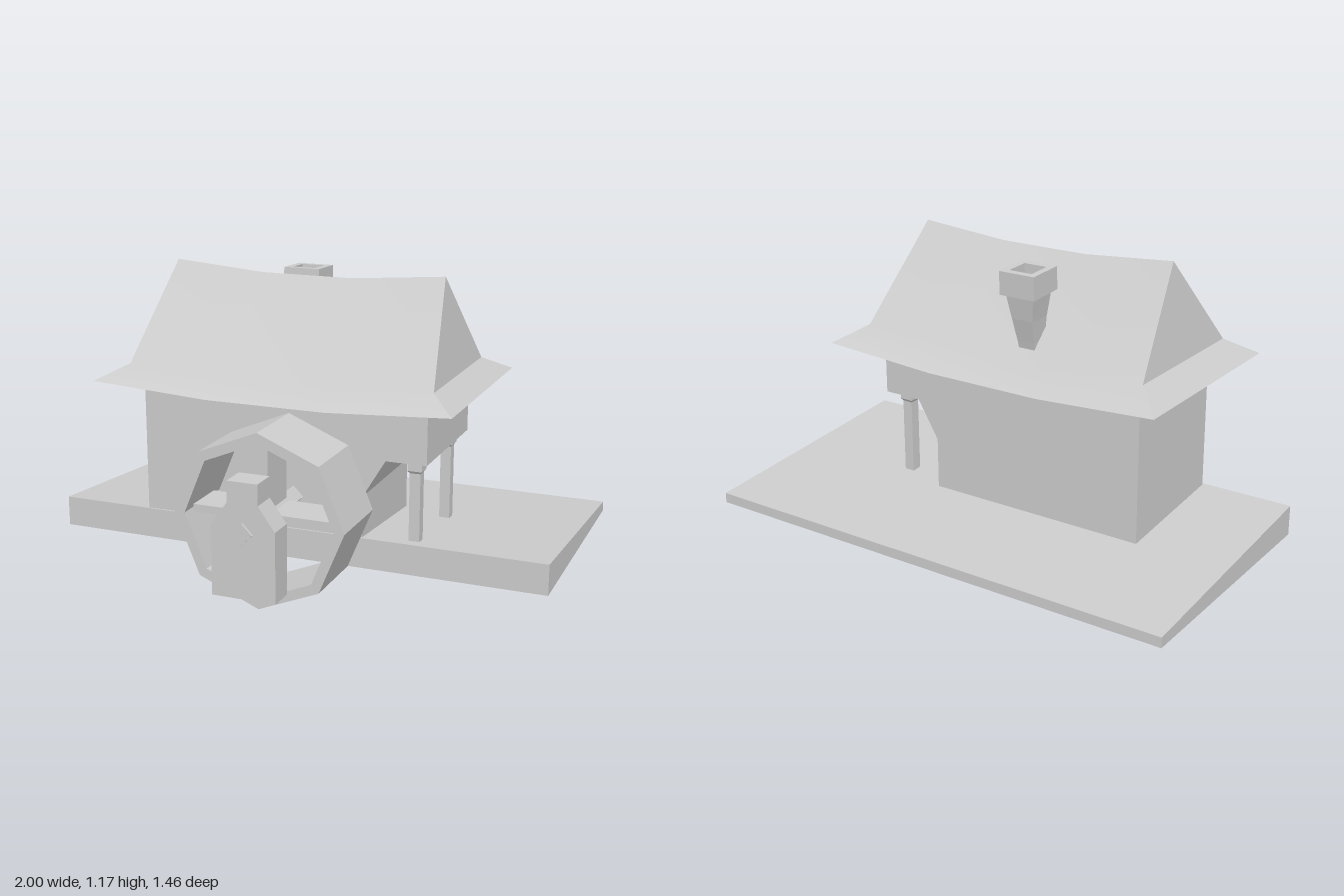
import * as THREE from 'three';

const flat = new THREE.MeshStandardMaterial({ color: 0xcccccc, flatShading: true, side: THREE.DoubleSide });
const smooth = new THREE.MeshStandardMaterial({ color: 0xcccccc, side: THREE.DoubleSide });

function add(parent, name, geometry, material = flat) {
  const mesh = new THREE.Mesh(geometry, material);
  mesh.name = name;
  parent.add(mesh);
  return mesh;
}

// Grid surface from rows of [x, y, z] points, rows running left to right and upwards
function patch(rows) {
  const n = rows[0].length, index = [];
  for (let r = 0; r < rows.length - 1; r++) {
    for (let c = 0; c < n - 1; c++) {
      const a = r * n + c, d = a + n;
      index.push(a, a + 1, d + 1, a, d + 1, d);
    }
  }
  const g = new THREE.BufferGeometry();
  g.setAttribute('position', new THREE.Float32BufferAttribute(rows.flat(2), 3));
  g.setIndex(index);
  g.computeVertexNormals();
  return g;
}

// Closed solid through rectangular sections [y, z, halfX, halfZ, tilt]
function loft(x, sections) {
  const corners = [[-1, 1], [1, 1], [1, -1], [-1, -1]];
  const points = [], index = [0, 2, 1, 0, 3, 2];
  sections.forEach(([y, z, hx, hz, tilt = 0], s) => {
    corners.forEach(([i, j], k) => {
      points.push(x + i * hx, y + j * hz * tilt, z + j * hz);
      if (s === 0) return;
      const a = (s - 1) * 4 + k, b = (s - 1) * 4 + (k + 1) % 4;
      index.push(a, b, b + 4, a, b + 4, a + 4);
    });
  });
  const t = (sections.length - 1) * 4;
  index.push(t, t + 1, t + 2, t, t + 2, t + 3);
  const g = new THREE.BufferGeometry();
  g.setAttribute('position', new THREE.Float32BufferAttribute(points, 3));
  g.setIndex(index);
  g.computeVertexNormals();
  return g;
}

const vectors = (pts) => pts.map(([x, y]) => new THREE.Vector2(x, y));

// Front outline extruded from z0 to z1
function slab(shape, z0, z1) {
  return new THREE.ExtrudeGeometry(shape, { depth: z1 - z0, bevelEnabled: false }).translate(0, 0, z0);
}

function ground() {
  const g = new THREE.BoxGeometry(2, 0.12, 1).translate(0, 0.15, -0.23);
  const p = g.attributes.position;
  // Top slopes down towards the back
  for (let i = 0; i < p.count; i++) {
    if (p.getY(i) > 0.15 && p.getZ(i) < 0) p.setY(i, 0.13);
  }
  // Leave the underside open
  const index = Array.from(g.index.array);
  index.splice(18, 6);
  g.setIndex(index);
  g.clearGroups();
  g.computeVertexNormals();
  return g;
}

function roof() {
  const group = new THREE.Group();
  group.name = 'roof';
  const sag = [0, 1, 1, 0];
  const row = (x0, x1, y, z, drop) =>
    sag.map((s, i) => [x0 + (x1 - x0) * i / 3, y - s * drop, z]);
  const side = (eaveZ, kinkZ) => [
    row(-0.78, 0.66, 0.748, eaveZ, 0.028),
    row(-0.665, 0.565, 0.81, kinkZ, 0.028),
    row(-0.605, 0.505, 1.175, 0, 0.03),
  ];
  const front = side(0.395, 0.307), back = side(-0.43, -0.307);
  add(group, 'frontRoofSlope', patch(front), smooth);
  add(group, 'backRoofSlope', patch(back.map((r) => [...r].reverse())), smooth);
  // Gable ends with their flared skirts
  for (const [name, i] of [['right', 0], ['left', 3]]) {
    const rows = front.map((r, k) => (i ? [r[i], back[k][i]] : [back[k][i], r[i]]));
    add(group, name + 'RoofSkirt', patch(rows.slice(0, 2)));
    add(group, name + 'Gable', patch(rows.slice(1)));
  }
  return group;
}

function waterWheel() {
  const group = new THREE.Group();
  group.name = 'waterWheel';
  group.position.y = 0.34;
  const octagon = (r) => vectors(Array.from({ length: 8 }, (_, k) =>
    [r * Math.cos(k * Math.PI / 4), r * Math.sin(k * Math.PI / 4)]));
  const rim = new THREE.Shape(octagon(0.337));
  rim.holes.push(new THREE.Path(octagon(0.295)));
  add(group, 'wheelRim', slab(rim, 0.3, 0.59));
  for (const turn of [0, Math.PI / 2]) {
    add(group, 'wheelSpoke', new THREE.BoxGeometry(0.58, 0.03, 0.17).rotateZ(turn).translate(0, 0, 0.445));
  }
  const diamond = new THREE.Shape(vectors([[0.04, 0], [0, 0.04], [-0.04, 0], [0, -0.04]]));
  add(group, 'axle', slab(diamond, 0.25, 0.725));
  return group;
}

export function createModel() {
  const model = new THREE.Group();
  model.name = 'waterMill';

  add(model, 'ground', ground());

  // House with its upper storey overhanging the porch
  const house = new THREE.Shape(vectors([
    [-0.63, 0.13], [0.28, 0.13], [0.28, 0.37], [0.37, 0.52], [0.53, 0.52], [0.53, 0.76], [-0.63, 0.76],
  ]));
  add(model, 'house', slab(house, -0.26, 0.26));
  model.add(roof());

  // Porch posts with wider heads
  for (const [z, foot] of [[0.198, 0.19], [-0.185, 0.11]]) {
    add(model, 'porchPost', loft(0.472, [
      [foot, z, 0.021, 0.021], [0.472, z, 0.021, 0.021],
      [0.482, z, 0.028, 0.028], [0.525, z, 0.028, 0.028],
    ]));
  }

  // Curved chimney, flared cap and recessed flue
  add(model, 'chimney', loft(-0.15, [
    [0.78, -0.222, 0.032, 0.03],
    [0.86, -0.235, 0.036, 0.036],
    [0.95, -0.247, 0.045, 0.047],
    [1.05, -0.252, 0.06, 0.06, 0.04],
    [1.047, -0.251, 0.075, 0.076, 0.06],
    [1.136, -0.255, 0.075, 0.076, 0.04],
    [1.136, -0.255, 0.048, 0.048, 0.04],
    [1.085, -0.253, 0.048, 0.048, 0.04],
  ]));

  model.add(waterWheel());

  // Stand carrying the outer end of the axle
  const stand = new THREE.Shape(vectors([
    [-0.125, 0.09], [0.125, 0.09], [0.125, 0.36], [0.06, 0.45],
    [0.06, 0.53], [-0.06, 0.53], [-0.06, 0.45], [-0.125, 0.36],
  ]));
  add(model, 'axleStand', slab(stand, 0.612, 0.715));

  return model;
}
